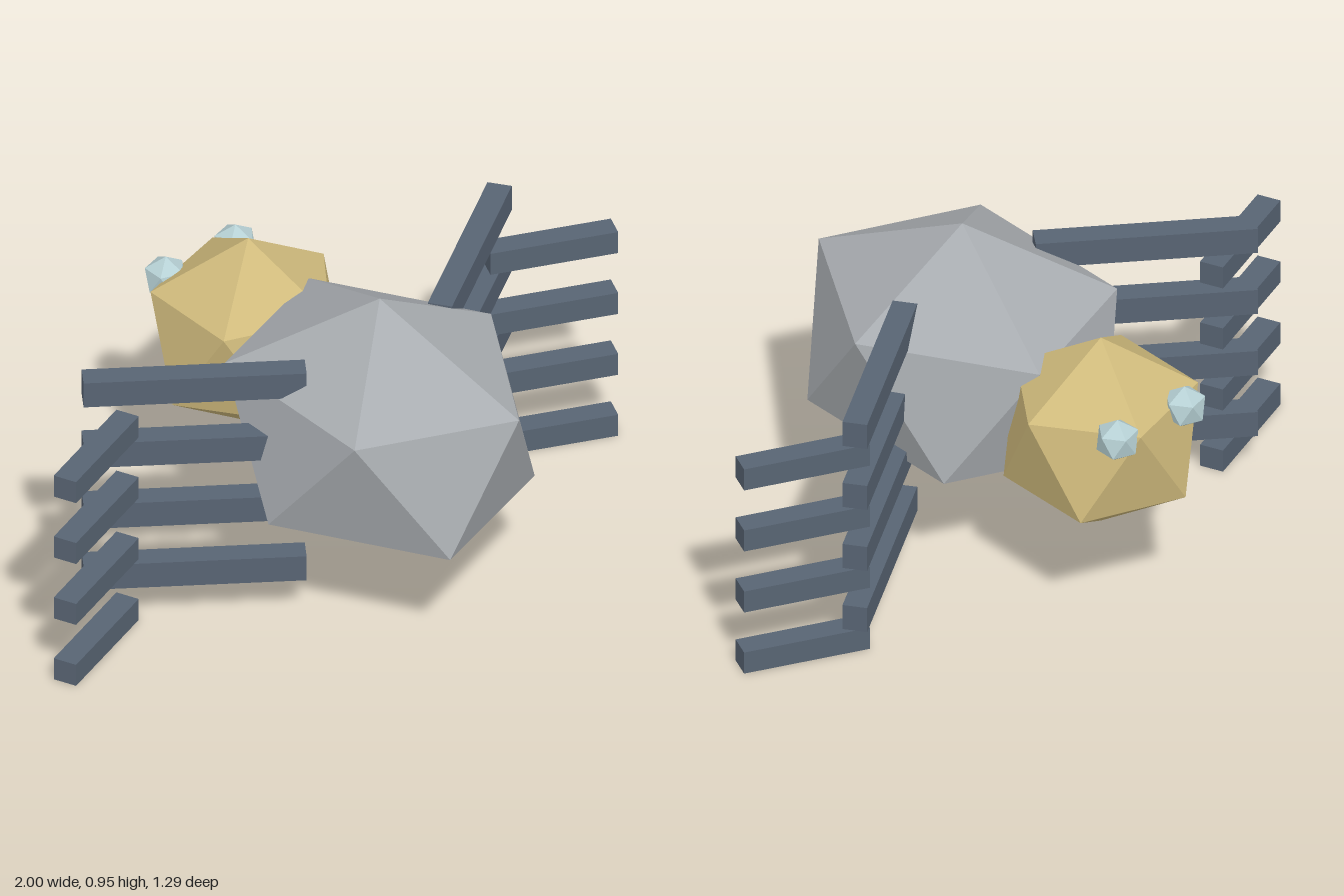
import * as THREE from 'three';

const material = (name, color) => {
  const m = new THREE.MeshStandardMaterial({ color });
  m.name = name;
  return m;
};

// Faceted ball with a corner at the top and bottom, and an upper corner towards +x
function facetedBall(name, mat, radii, position) {
  const geometry = new THREE.IcosahedronGeometry(1, 0);
  geometry.rotateZ(-Math.atan(2 / (1 + Math.sqrt(5))));
  geometry.scale(...radii);
  const mesh = new THREE.Mesh(geometry, mat);
  mesh.name = name;
  mesh.position.set(...position);
  return mesh;
}

export function createModel() {
  const group = new THREE.Group();
  group.name = 'spider';

  const grey = material('body grey', 0xa8acb0);
  const gold = material('head gold', 0xcfba7c);
  const slate = material('leg slate', 0x586473);
  const pale = material('eye pale blue', 0xb6d0d4);

  // Body, head and eyes
  group.add(facetedBall('abdomen', grey, [0.447, 0.403, 0.537], [0, 0.548, 0.19]));
  group.add(facetedBall('head', gold, [0.303, 0.305, 0.303], [0, 0.55, -0.383]));
  for (const side of [-1, 1]) {
    group.add(facetedBall(side > 0 ? 'leftEye' : 'rightEye', pale,
      [0.065, 0.065, 0.065], [side * 0.125, 0.674, -0.59]));
  }

  // Four stacked legs on each side, each of two level bars
  const thighGeometry = new THREE.BoxGeometry(0.62, 0.08, 0.07);
  const shinGeometry = new THREE.BoxGeometry(0.37, 0.07, 0.07);
  for (const side of [-1, 1]) {
    for (let i = 0; i < 4; i++) {
      const leg = new THREE.Group();
      leg.name = (side > 0 ? 'leftLeg' : 'rightLeg') + (i + 1);
      leg.position.y = i * 0.2035;

      const thigh = new THREE.Mesh(thighGeometry, slate);
      thigh.name = 'upperLeg';
      thigh.position.set(side * 0.495, 0.161, -0.018);
      thigh.rotation.y = side * THREE.MathUtils.degToRad(35);

      const shin = new THREE.Mesh(shinGeometry, slate);
      shin.name = 'lowerLeg';
      shin.position.set(side * 0.816, 0.036, -0.055);
      shin.rotation.y = -side * THREE.MathUtils.degToRad(22.5);

      leg.add(thigh, shin);
      group.add(leg);
    }
  }
  return group;
}
